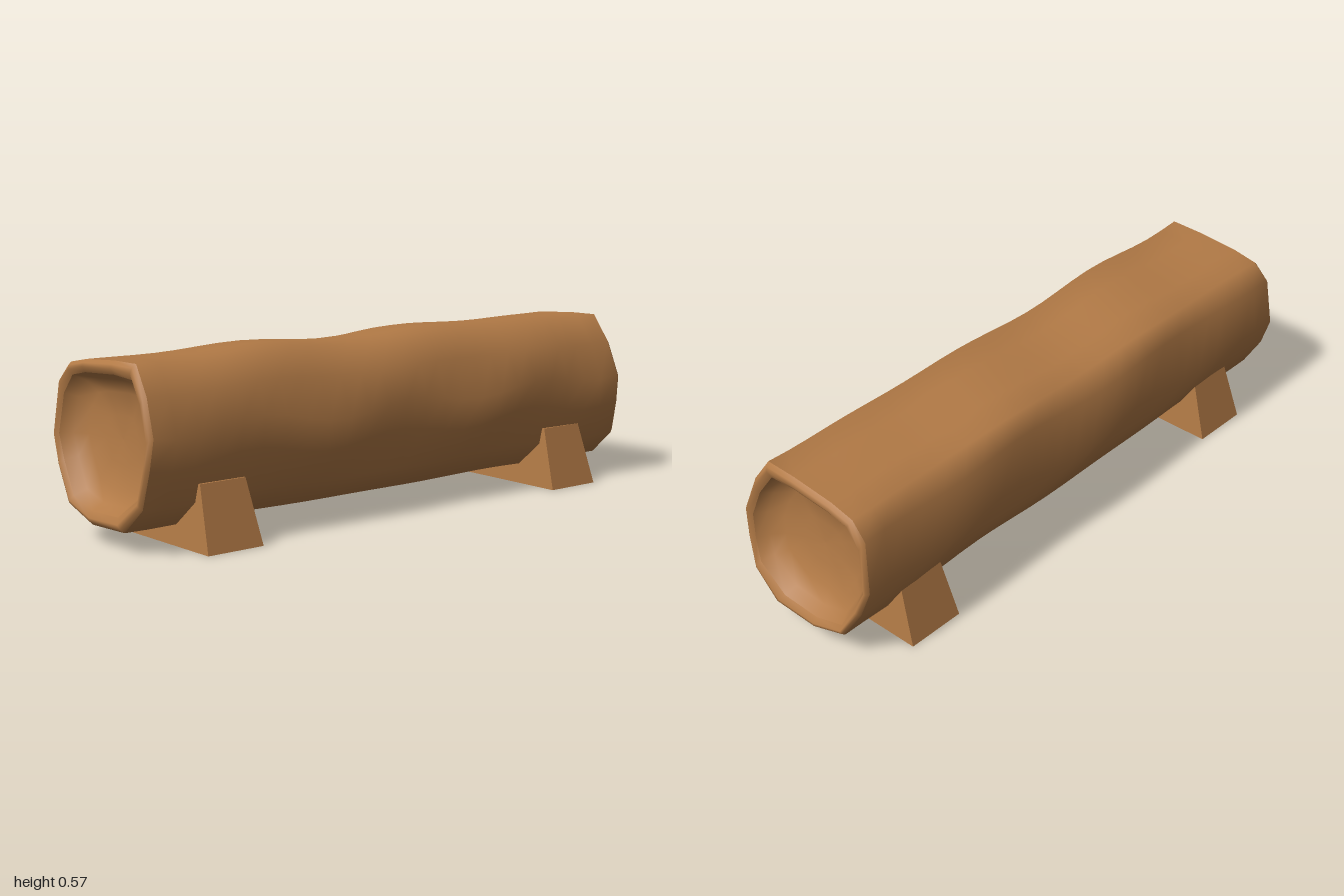
import * as THREE from 'three';

// Log outline as [z, y], running counter-clockwise seen from +x
const OUTER = [[0.14, 0.558], [0.2, 0.47], [0.243, 0.355], [0.23, 0.26], [0.203, 0.145], [0.115, 0.065], [-0.055, 0.06],
  [-0.178, 0.1], [-0.247, 0.21], [-0.281, 0.305], [-0.262, 0.475], [-0.21, 0.527], [-0.125, 0.544], [0.03, 0.556]];
// Edge of the hollow at each end
const INNER = [[0.125, 0.51], [0.18, 0.43], [0.215, 0.335], [0.205, 0.25], [0.185, 0.175], [0.08, 0.105], [-0.06, 0.1],
  [-0.165, 0.13], [-0.225, 0.23], [-0.26, 0.305], [-0.24, 0.43], [-0.195, 0.49], [-0.125, 0.505], [0.03, 0.515]];
const CENTRE = [-0.02, 0.31];
const N = OUTER.length;

// The ends lean inward toward the top
const endX = (y) => 0.985 - 0.07 * (y - 0.06);
const mix = (a, b, t) => a.map((v, i) => v + (b[i] - v) * t);

// Skin closed rings of [x, y, z] points listed from -x to +x
function skin(rings) {
  const index = [];
  for (let i = 0; i < rings.length - 1; i++) {
    for (let j = 0; j < N; j++) {
      const k = (j + 1) % N;
      const a = i * N + j, b = i * N + k, c = b + N, d = a + N;
      index.push(a, b, d, b, c, d);
    }
  }
  const g = new THREE.BufferGeometry();
  g.setAttribute('position', new THREE.Float32BufferAttribute(rings.flat(2), 3));
  g.setIndex(index);
  g.computeVertexNormals();
  return g;
}

// Uneven bark: slow waves along the log that fade out at the ends
function barkRing(t) {
  const fade = 1 - t ** 6;
  return OUTER.map(([z, y], j) => {
    const x = t * endX(y);
    const ridge = j === 2 || j === 3 || j === 9 ? 1 : 0.25;
    const dy = fade * (0.006 * Math.sin(7 * x - 1.2) + ridge * 0.02 * Math.sin(10.5 * x + 0.6 + j * 0.4));
    const dz = fade * 0.006 * Math.sin(9 * x + j * 1.9) * (Math.abs(z) > 0.2 ? 1 : 0.4);
    return [x, y + dy * (y < 0.08 ? 0.4 : 1), z + dz - Math.sign(z) * fade * 0.003];
  });
}

// Ring at one end: blend between two outlines, pushed outward by `out`
function endRing(side, from, to, t, out) {
  return OUTER.map((_, j) => {
    const [z, y] = mix(from(j), to(j), t);
    return [side * (endX(y) + out), y, z];
  });
}

export function createModel() {
  const group = new THREE.Group();
  group.name = 'logBench';
  const wood = new THREE.MeshStandardMaterial({ color: 0xb27a46 });
  wood.name = 'wood';
  const add = (geometry, name) => {
    const mesh = new THREE.Mesh(geometry, wood);
    mesh.name = name;
    group.add(mesh);
    return mesh;
  };

  // Log bark
  const rings = [];
  for (let i = 0; i <= 24; i++) rings.push(barkRing(-1 + i / 12));
  add(skin(rings), 'logBark');

  // Rounded rims and hollowed ends
  const outer = (j) => OUTER[j], inner = (j) => INNER[j], centre = () => CENTRE;
  for (const side of [1, -1]) {
    const label = side > 0 ? 'left' : 'right';
    const rim = [[0, 0], [0.25, 0.011], [0.55, 0.015], [1, 0.002]].map(([t, out]) => endRing(side, outer, inner, t, out));
    const hollow = [[0, 0.002], [0.1, -0.035], [0.3, -0.06], [0.65, -0.07], [1, -0.072]]
      .map(([t, out]) => endRing(side, inner, centre, t, out));
    if (side < 0) { rim.reverse(); hollow.reverse(); }
    add(skin(rim), label + 'Rim');
    add(skin(hollow), label + 'Hollow');
  }

  // Tapered cradle feet, narrower at the top
  for (const side of [1, -1]) {
    const foot = new THREE.BoxGeometry(0.2, 0.2, 0.566);
    const p = foot.attributes.position;
    for (let i = 0; i < p.count; i++) {
      if (p.getY(i) > 0) { p.setX(i, p.getX(i) * 0.82); p.setZ(i, p.getZ(i) * 0.78); }
    }
    foot.translate(0, 0.1, 0);
    foot.computeVertexNormals();
    add(foot, side > 0 ? 'leftFoot' : 'rightFoot').position.x = side * 0.71;
  }
  return group;
}
